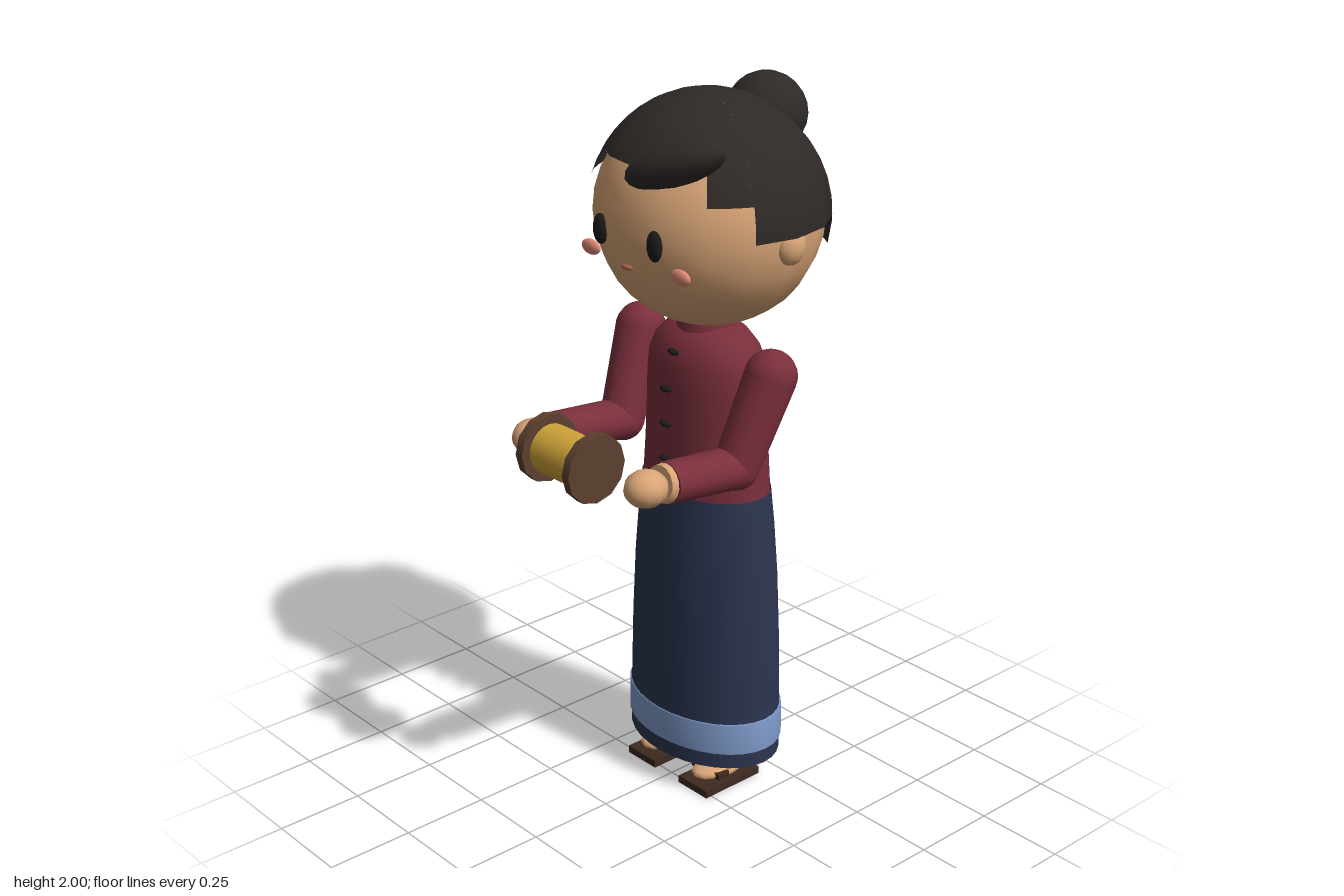
import * as THREE from 'three';

const mat = (color, side = THREE.FrontSide) => new THREE.MeshStandardMaterial({ color, side });
const skin = mat(0xd9a577), hairMat = mat(0x2f2a28, THREE.DoubleSide), blouse = mat(0x7a2f3c);
const skirtMat = mat(0x2c3550, THREE.DoubleSide), bandMat = mat(0x7f9ccb, THREE.DoubleSide);
const wood = mat(0x5c3f2e), thread = mat(0xcfa338), blush = mat(0xe08a78);
const dark = mat(0x1e1b1b), sole = mat(0x3e2a20), lip = mat(0xa8604e);
const CZ = -0.127; // depth of the body axis

export function createModel() {
  const root = new THREE.Group();
  root.name = 'seamstress';

  const add = (name, geo, material, x = 0, y = 0, z = 0, parent = root) => {
    const m = new THREE.Mesh(geo, material);
    m.name = name;
    m.position.set(x, y, z);
    parent.add(m);
    return m;
  };
  const ball = (name, material, p, r, ws = 16, hs = 12) => {
    const m = add(name, new THREE.SphereGeometry(1, ws, hs), material, ...p);
    m.scale.set(...r);
    return m;
  };
  // Oval lathe: wider than deep
  const oval = (name, material, pts) => {
    const geo = new THREE.LatheGeometry(pts.map(p => new THREE.Vector2(...p)), 32);
    const m = add(name, geo, material, 0, 0, CZ);
    m.scale.z = 0.71;
    return m;
  };
  // Tapered limb between two points
  const limb = (name, material, a, b, ra, rb) => {
    const A = new THREE.Vector3(...a), B = new THREE.Vector3(...b), d = B.clone().sub(A);
    const m = add(name, new THREE.CylinderGeometry(rb, ra, d.length(), 16), material);
    m.position.copy(A).add(B).multiplyScalar(0.5);
    m.quaternion.setFromUnitVectors(new THREE.Vector3(0, 1, 0), d.normalize());
    return m;
  };

  // Head and face
  ball('head', skin, [0, 1.66, -0.13], [0.314, 0.3, 0.3], 16, 16);
  ball('mouth', lip, [0, 1.567, 0.153], [0.022, 0.008, 0.01], 12, 8);

  // Hair cap: sectors around the head, each ending at its own height
  const hair = new THREE.Group();
  hair.name = 'hairCap';
  hair.position.set(0, 1.66, -0.13);
  hair.scale.set(0.329, 0.325, 0.315);
  root.add(hair);
  const step = Math.PI / 8;
  [['fringe', 2, 4, 1.83], ['leftTemple', 1, 1, 1.755], ['rightTemple', 6, 1, 1.755],
    ['leftSide', 7, 3, 1.66], ['rightSide', -2, 3, 1.66], ['back', 10, 4, 1.58]].forEach(([name, k, n, y]) => {
    const theta = Math.acos((y - 1.66) / 0.325);
    add(name + 'Hair', new THREE.SphereGeometry(1, n, 10, k * step, n * step, 0, theta), hairMat, 0, 0, 0, hair);
  });
  ball('hairBun', hairMat, [0, 1.89, -0.332], [0.113, 0.11, 0.11]);
  const sweep = ball('sweptLock', hairMat, [0.112, 1.845, 0.09], [0.156, 0.055, 0.066], 12, 10);
  sweep.rotation.set(0, 0.3, 0.35);

  // Blouse
  oval('torso', blouse, [[0.206, 0.88], [0.198, 1.0], [0.193, 1.12], [0.191, 1.2], [0.185, 1.262],
    [0.165, 1.305], [0.13, 1.342], [0.085, 1.36], [0, 1.36]]);
  add('neck', new THREE.CylinderGeometry(0.065, 0.065, 0.1, 16), skin, 0, 1.36, CZ);
  add('collar', new THREE.CylinderGeometry(0.08, 0.085, 0.03, 20), blouse, 0, 1.36, CZ);
  [[1.297, -0.005], [1.2, 0.022], [1.1, 0.024], [1.0, 0.026]].forEach(([y, z]) =>
    ball('button', dark, [0, y, z], [0.021, 0.009, 0.011], 10, 8));

  // Skirt with hem band
  oval('skirt', skirtMat, [[0.25, 0.1], [0.249, 0.24], [0.243, 0.45], [0.233, 0.65], [0.22, 0.8], [0.208, 0.9]]);
  oval('hemBand', bandMat, [[0.249, 0.145], [0.256, 0.147], [0.255, 0.238], [0.248, 0.24]]);

  for (const s of [1, -1]) {
    // Face sides
    ball('eye', dark, [s * 0.105, 1.645, 0.152], [0.026, 0.041, 0.015], 16, 12);
    ball('cheek', blush, [s * 0.175, 1.575, 0.127], [0.036, 0.021, 0.013], 16, 10);
    ball('ear', skin, [s * 0.3, 1.632, -0.135], [0.034, 0.05, 0.045], 12, 10);

    // Bent arm
    const shoulder = [s * 0.258, 1.275, -0.115], elbow = [s * 0.23, 1.035, -0.02];
    const wrist = [s * 0.228, 1.06, 0.225];
    ball('shoulder', blouse, shoulder, [0.071, 0.071, 0.071]);
    limb('upperSleeve', blouse, shoulder, elbow, 0.071, 0.063);
    ball('elbow', blouse, elbow, [0.063, 0.063, 0.063]);
    limb('foreSleeve', blouse, elbow, wrist, 0.063, 0.06).scale.z = 0.92;
    limb('wrist', skin, wrist, [s * 0.228, 1.063, 0.245], 0.054, 0.05);
    ball('hand', skin, [s * 0.23, 1.065, 0.292], [0.057, 0.05, 0.06], 12, 10);

    // Leg, foot and sandal
    add('leg', new THREE.CylinderGeometry(0.058, 0.058, 0.32, 16), skin, s * 0.11, 0.245, -0.12);
    add('ankle', new THREE.CylinderGeometry(0.045, 0.04, 0.05, 12), skin, s * 0.11, 0.07, -0.12);
    ball('foot', skin, [s * 0.11, 0.047, -0.085], [0.056, 0.024, 0.097], 12, 8);
    add('sandalStrap', new THREE.BoxGeometry(0.114, 0.018, 0.04), sole, s * 0.11, 0.048, -0.05);
    add('sandalSole', new THREE.BoxGeometry(0.117, 0.022, 0.205), sole, s * 0.11, 0.013, -0.083);
  }

  // Thread spool floating between the hands
  const spool = new THREE.Group();
  spool.name = 'spool';
  spool.position.set(0, 1.095, 0.352);
  spool.rotation.z = Math.PI / 2;
  root.add(spool);
  add('threadRoll', new THREE.CylinderGeometry(0.068, 0.068, 0.17, 20), thread, 0, 0, 0, spool);
  for (const s of [1, -1])
    add('spoolFlange', new THREE.CylinderGeometry(0.094, 0.094, 0.026, 12), wood, 0, s * 0.095, 0, spool);

  // Rest on the ground
  root.position.y = -0.002;
  return root;
}
